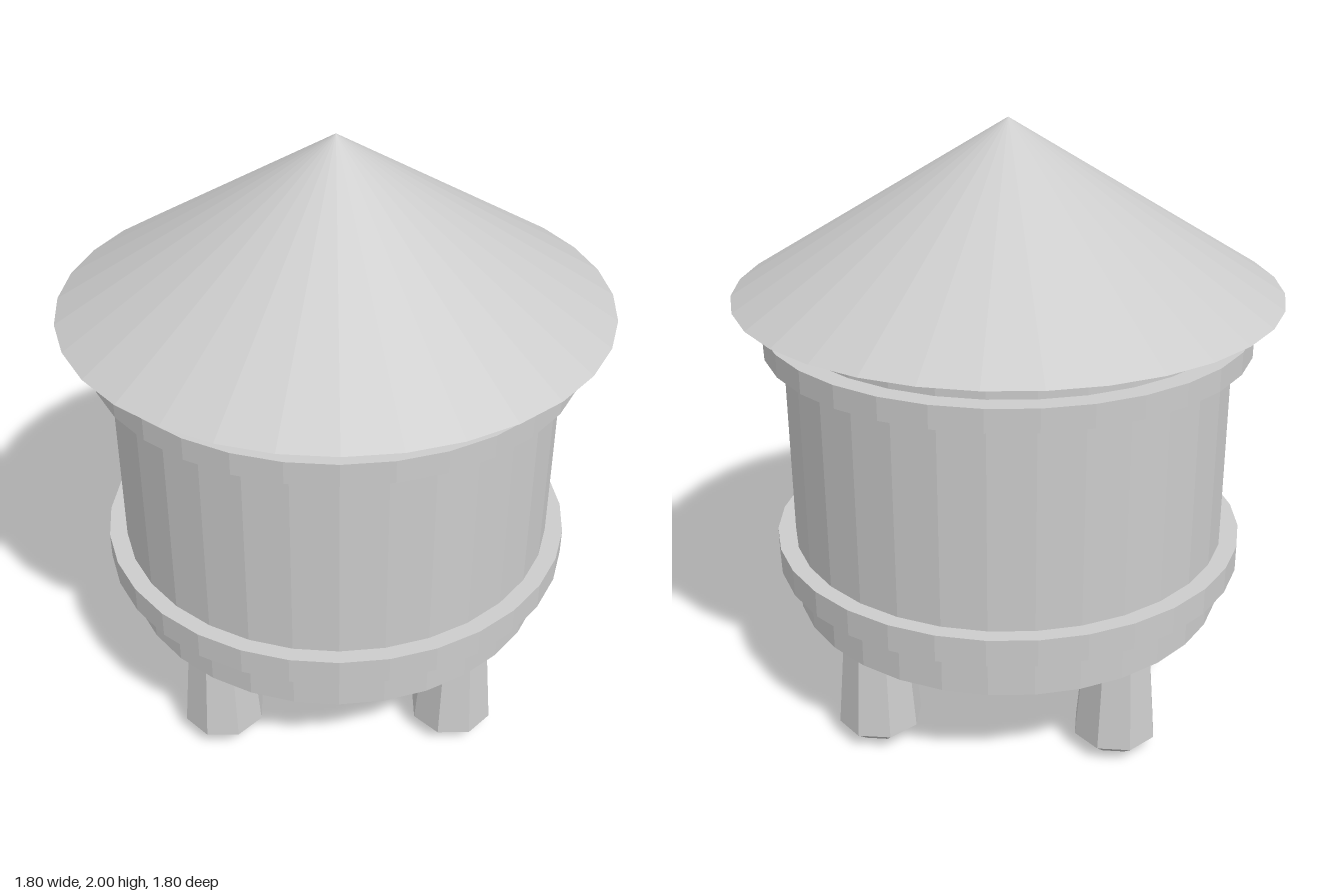
import * as THREE from 'three';

export function createModel() {
  const model = new THREE.Group();
  const material = new THREE.MeshStandardMaterial({ color: 0xcccccc, flatShading: true });

  const add = (name, geometry, y = 0) => {
    const mesh = new THREE.Mesh(geometry, material);
    mesh.name = name;
    mesh.position.y = y;
    model.add(mesh);
    return mesh;
  };
  // Faceted drum spanning two heights
  const drum = (name, radius, y0, y1) =>
    add(name, new THREE.CylinderGeometry(radius, radius, y1 - y0, 32), (y0 + y1) / 2);

  // Tank with its two hoops
  drum('tank', 0.745, 0.36, 1.445);
  drum('upperHoop', 0.81, 1.28, 1.355);
  drum('lowerHoop', 0.806, 0.5, 0.592).scale.z = 0.988;

  // Conical roof with a closed underside
  add('roof', new THREE.ConeGeometry(0.9, 0.555, 32), 1.7225);

  // Tapered eight-sided legs with chamfered feet, flat side to the front
  const legProfile = [[0, 0], [0.09, 0.012], [0.141, 0.055], [0.115, 0.36], [0, 0.36]]
    .map(([r, y]) => new THREE.Vector2(r, y));
  const legGeometry = new THREE.LatheGeometry(legProfile, 8, Math.PI / 8);
  for (const sx of [-1, 1]) {
    for (const sz of [-1, 1]) {
      const leg = add((sz > 0 ? 'front' : 'back') + (sx > 0 ? 'Left' : 'Right') + 'Leg', legGeometry);
      leg.position.set(sx * 0.397, 0, sz * 0.455);
    }
  }
  return model;
}
